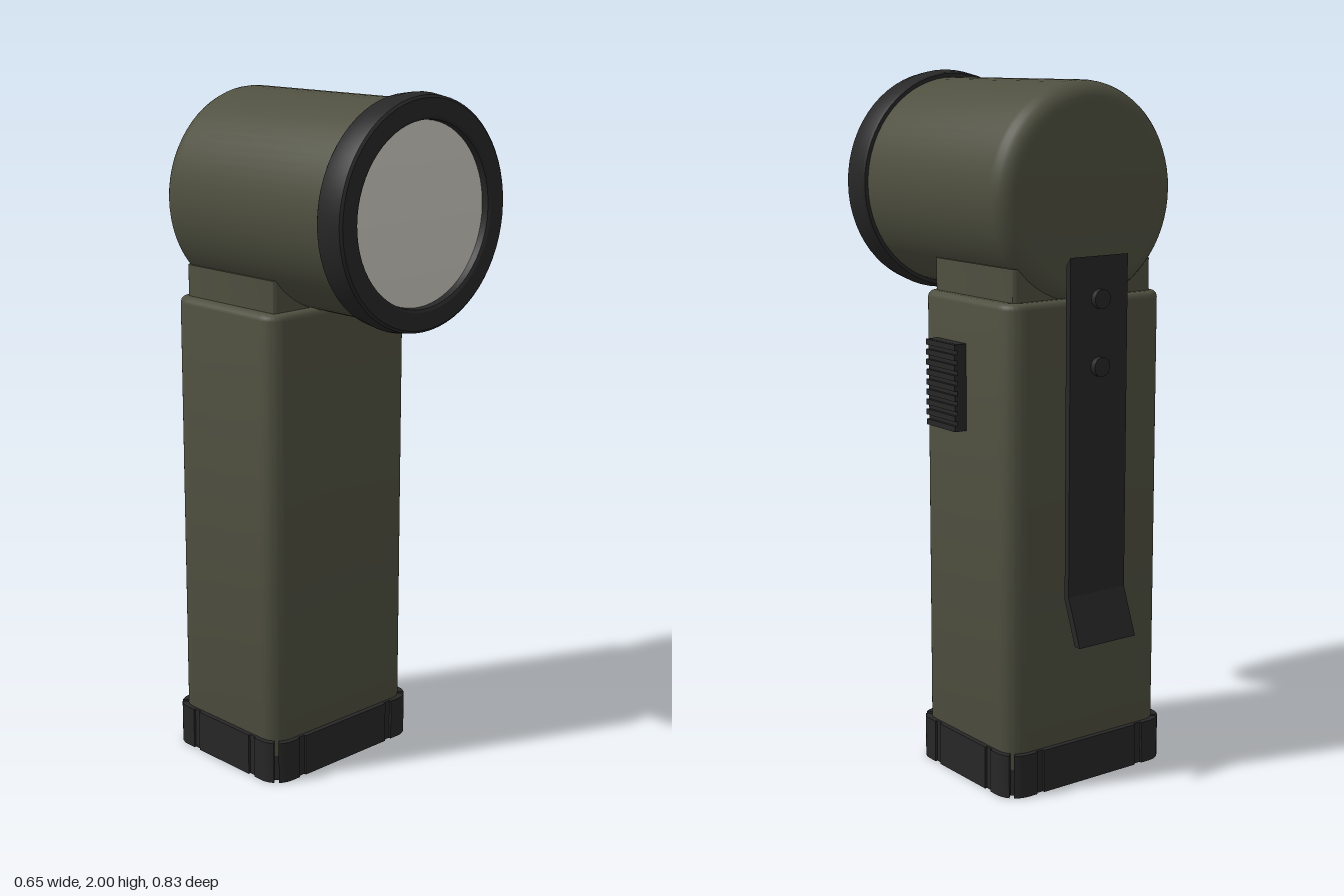
import * as THREE from 'three';
import { toCreasedNormals } from 'three/addons/utils/BufferGeometryUtils.js';

const olive = new THREE.MeshStandardMaterial({ name: 'olive casing', color: 0x4f5040 });
const black = new THREE.MeshStandardMaterial({ name: 'black rubber', color: 0x272728 });
const glass = new THREE.MeshStandardMaterial({ name: 'pale lens', color: 0xcfccc2 });

const BODY_Z = -0.11; // centre of the handle in depth
const HEAD_Y = 1.677; // axis of the lamp head

function roundedRect(a, b, r) {
  const s = new THREE.Shape();
  s.absarc(a - r, b - r, r, 0, Math.PI / 2);
  s.absarc(r - a, b - r, r, Math.PI / 2, Math.PI);
  s.absarc(r - a, r - b, r, Math.PI, Math.PI * 1.5);
  s.absarc(a - r, r - b, r, Math.PI * 1.5, Math.PI * 2);
  s.closePath();
  return s;
}

// Rounded rectangle with shallow grooves beside and on every corner
function groovedRect(a, b) {
  const r = 0.065, d = 0.007;
  const half = [[0, 0.12], [d, 0.12], [d, 0.095], [0, 0.095]];
  for (let i = 0; i <= 4; i++) {
    const t = (i / 4) * 0.68;
    half.push([r - r * Math.cos(t), r - r * Math.sin(t)]);
  }
  const [u, v] = half[half.length - 1];
  half.push([u + 0.014, v + 0.014]);
  const corner = [...half, ...half.map(([p, q]) => [q, p]).reverse()];
  const pts = [];
  for (const [sx, sy] of [[1, 1], [-1, 1], [-1, -1], [1, -1]]) {
    const list = corner.map(([p, q]) => new THREE.Vector2(sx * (a - p), sy * (b - q)));
    pts.push(...(sx * sy > 0 ? list : list.reverse()));
  }
  return new THREE.Shape(pts);
}

// Extrude a plan shape upward from y0 to y1, with softened rims
function upright(shape, y0, y1, bevel) {
  const g = new THREE.ExtrudeGeometry(shape, {
    depth: y1 - y0 - 2 * bevel, curveSegments: 8, bevelEnabled: bevel > 0,
    bevelThickness: bevel, bevelSize: bevel, bevelOffset: -bevel, bevelSegments: 3,
  });
  g.rotateX(-Math.PI / 2).translate(0, y0 + bevel, BODY_Z);
  return toCreasedNormals(g, 0.6);
}

// Turn a [radius, z] profile about the head axis
function turned(profile, crease = 0.5) {
  const g = new THREE.LatheGeometry(profile.map(([r, z]) => new THREE.Vector2(r, z)), 64);
  g.rotateX(Math.PI / 2).translate(0, HEAD_Y, 0);
  return toCreasedNormals(g, crease);
}

export function createModel() {
  const model = new THREE.Group();
  model.name = 'angleTorch';
  const add = (name, geometry, material, parent = model) => {
    const mesh = new THREE.Mesh(geometry, material);
    mesh.name = name;
    parent.add(mesh);
    return mesh;
  };

  // Handle, neck and base cap
  add('handle', upright(roundedRect(0.272, 0.217, 0.06), 0.06, 1.393, 0.018), olive);
  add('neck', upright(roundedRect(0.24, 0.187, 0.012), 1.37, 1.484, 0), olive);
  add('baseCap', upright(groovedRect(0.287, 0.233), 0, 0.125, 0), black);

  // Lamp head with a rounded back edge
  const head = [[0, -0.331], [0.245, -0.331]];
  for (let i = 1; i <= 6; i++) {
    const t = (i / 6) * Math.PI / 2;
    head.push([0.245 + 0.058 * Math.sin(t), -0.273 - 0.058 * Math.cos(t)]);
  }
  head.push([0.303, 0.34]);
  add('lampHead', turned(head), olive);

  // Bezel ring, open in the middle for the lens
  add('bezel', turned([
    [0.29, 0.325], [0.314, 0.325], [0.318, 0.33], [0.324, 0.371], [0.318, 0.411],
    [0.311, 0.417], [0.262, 0.417], [0.254, 0.412], [0.25, 0.38],
  ]), black);
  add('lens', turned([[0.252, 0.393], [0.2, 0.398], [0.1, 0.403], [0, 0.405]], 1), glass);

  // Sliding switch with grip ridges on the left side
  const slider = new THREE.Group();
  slider.name = 'switch';
  model.add(slider);
  add('switchPlate', new THREE.BoxGeometry(0.04, 0.245, 0.14), black, slider)
    .position.set(0.282, 1.143, -0.05);
  for (let i = 0; i < 9; i++) {
    add('switchRidge', new THREE.BoxGeometry(0.012, 0.016, 0.14), black, slider)
      .position.set(0.305, 1.029 + i * 0.0285, -0.05);
  }

  // Belt clip: side profile swept across its width, flared at the foot
  const clip = new THREE.Group();
  clip.name = 'beltClip';
  model.add(clip);
  const side = new THREE.Shape([
    [0.346, 0.555], [0.393, 0.43], [0.415, 0.43], [0.364, 0.565], [0.364, 1.512], [0.346, 1.488],
  ].map(([x, y]) => new THREE.Vector2(x, y)));
  const strip = new THREE.ExtrudeGeometry(side, { depth: 0.2, bevelEnabled: false });
  strip.rotateY(Math.PI / 2).translate(-0.1, 0, 0);
  add('clipStrip', strip, black, clip);
  for (const y of [1.395, 1.208]) {
    const rivet = add('rivet', new THREE.CylinderGeometry(0.027, 0.027, 0.025, 24), black, clip);
    rivet.rotation.x = Math.PI / 2;
    rivet.position.set(0, y, -0.368);
  }
  return model;
}
